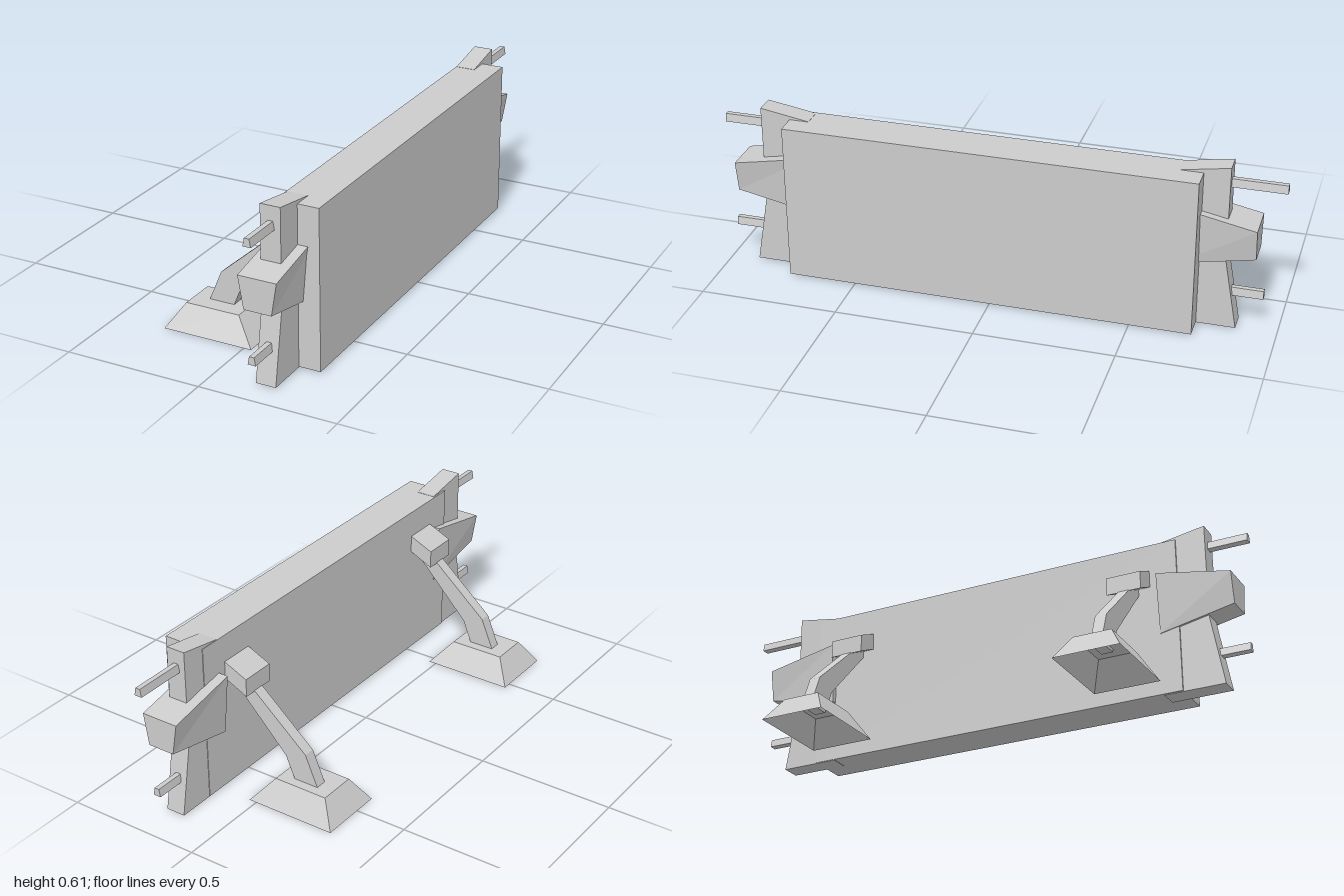
import * as THREE from 'three';

const grey = new THREE.MeshStandardMaterial({ color: 0xcccccc, flatShading: true });
const greyOpen = new THREE.MeshStandardMaterial({ color: 0xcccccc, flatShading: true, side: THREE.DoubleSide });

// Six-sided solid: rule maps corner flags (u, v, w = 0 or 1 along x, y, z) to a position.
function block(name, rule, openBottom = false) {
  const geo = new THREE.BoxGeometry(1, 1, 1);
  const p = geo.attributes.position;
  for (let i = 0; i < p.count; i++) {
    p.setXYZ(i, ...rule(p.getX(i) + 0.5, p.getY(i) + 0.5, p.getZ(i) + 0.5));
  }
  if (openBottom) {
    const idx = Array.from(geo.index.array);
    idx.splice(18, 6);
    geo.setIndex(idx);
    geo.clearGroups();
  }
  geo.computeVertexNormals();
  const mesh = new THREE.Mesh(geo, openBottom ? greyOpen : grey);
  mesh.name = name;
  return mesh;
}

// Side profile in x and y, given thickness across z.
function slab(name, points, zMid, width) {
  const shape = new THREE.Shape(points.map(([x, y]) => new THREE.Vector2(x, y)));
  const geo = new THREE.ExtrudeGeometry(shape, { depth: width, bevelEnabled: false });
  geo.translate(0, 0, zMid - width / 2);
  const mesh = new THREE.Mesh(geo, grey);
  mesh.name = name;
  return mesh;
}

const lerp = THREE.MathUtils.lerp;

// End fittings: post, clamp block and two pegs; s is the end's direction along z.
function endFitting(e) {
  const g = new THREE.Group();
  g.name = e.name;
  const out = (w) => (e.s > 0 ? w : 1 - w); // 1 on the outer side

  const postX = (u) => lerp(e.postX[0], e.postX[1], u);
  g.add(block('upperPost', (u, v, w) => {
    const o = out(w);
    return [postX(u), v ? lerp(0.585, 0.614, o) : 0.262, e.s * lerp(e.inner, e.post, o)];
  }));
  g.add(block('lowerPost', (u, v, w) => {
    const o = out(w);
    return [postX(u), v ? 0.262 : 0.003, e.s * (o ? e.post + (v ? 0 : 0.046) : e.inner)];
  }));

  // Clamp block narrows downward and outward
  g.add(block('clampBlock', (u, v, w) => {
    const o = out(w);
    const x = v ? lerp(e.blockX, e.blockX + 0.139, u) : lerp(e.blockX + 0.02, e.blockX + 0.12, u);
    const y = v ? lerp(0.457, 0.403, o) : lerp(0.232, 0.287, o);
    return [x, y, e.s * lerp(e.inner, e.block, o)];
  }));

  for (const [name, y, end] of [['upperPeg', 0.533, 1.0], ['lowerPeg', 0.118, e.lowPeg]]) {
    g.add(block(name, (u, v, w) => [
      e.pegX + (u - 0.5) * (v ? 0.018 : 0.029),
      y + v * 0.029,
      e.s * lerp(e.post - 0.03, end, out(w)),
    ]));
  }
  return g;
}

// Support strut: hollow foot, bent arm and the head fixed to the panel.
function support(name, footZ, armZ) {
  const g = new THREE.Group();
  g.name = name;
  g.add(block('foot', (u, v, w) => [
    v ? lerp(-0.252, -0.047, u) : lerp(-0.31, 0.028, u),
    v * 0.088,
    footZ + (w - 0.5) * (v ? 0.138 : 0.242),
  ], true));
  g.add(slab('arm', [
    [-0.2, 0.076], [-0.105, 0.076], [-0.066, 0.17], [0.15, 0.396],
    [0.15, 0.44], [0.06, 0.381], [-0.148, 0.2],
  ], armZ, 0.042));
  g.add(slab('head', [[0.06, 0.378], [0.15, 0.421], [0.15, 0.485], [0.06, 0.444]], armZ, 0.128));
  return g;
}

export function createModel() {
  const model = new THREE.Group();
  model.name = 'barrierPanel';

  model.add(block('panel', (u, v, w) => [
    u ? (v ? 0.304 : 0.307) : 0.148,
    lerp(0.005, 0.584, v),
    lerp(-0.72, 0.745, w),
  ]));

  model.add(endFitting({
    name: 'frontEnd', s: 1, inner: 0.675, post: 0.853, block: 0.95, lowPeg: 0.985,
    postX: [0.154, 0.227], blockX: 0.125, pegX: 0.191,
  }));
  model.add(endFitting({
    name: 'backEnd', s: -1, inner: 0.643, post: 0.811, block: 0.914, lowPeg: 0.943,
    postX: [0.15, 0.222], blockX: 0.111, pegX: 0.186,
  }));

  model.add(support('frontSupport', 0.591, 0.579));
  model.add(support('backSupport', -0.534, -0.547));
  return model;
}
